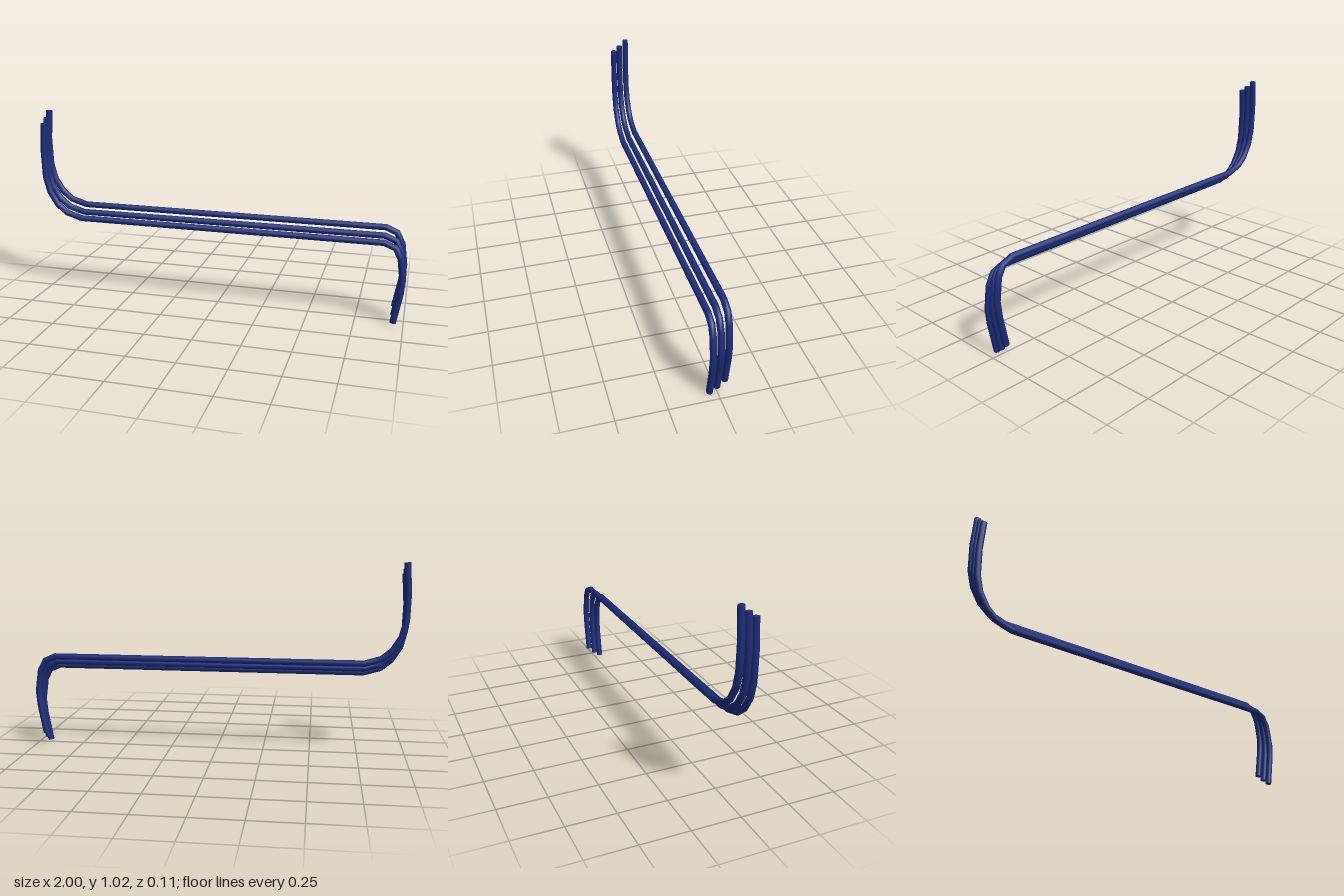
import * as THREE from 'three';

const RADIUS = 0.0168;
const SIDES = 12;

// Side profile shared by the three rods: upturned left end, straight run, downturned right end
const PROFILE = [
  [-0.972, 0.956], [-0.983, 0.80], [-0.979, 0.657], [-0.958, 0.574], [-0.914, 0.503],
  [-0.861, 0.460], [-0.775, 0.434], [0.88, 0.434], [0.937, 0.410], [0.966, 0.355],
  [0.982, 0.24], [0.975, 0.16], [0.947, 0.005],
];

// Curve that steps exactly through its corner points, so each bend stays faceted
class BentPath extends THREE.Curve {
  constructor(points) {
    super();
    this.points = points;
  }
  index(u) {
    return Math.round(u * (this.points.length - 1));
  }
  getPointAt(u, target = new THREE.Vector3()) {
    return target.copy(this.points[this.index(u)]);
  }
  getTangentAt(u, target = new THREE.Vector3()) {
    const i = this.index(u), p = this.points;
    target.set(0, 0, 0);
    if (i > 0) target.add(p[i].clone().sub(p[i - 1]).normalize());
    if (i < p.length - 1) target.add(p[i + 1].clone().sub(p[i]).normalize());
    return target.normalize();
  }
}

function makeRod(name, z, lift, material) {
  const rod = new THREE.Group();
  rod.name = name;
  const points = PROFILE.map(([x, y]) => new THREE.Vector3(x, y + lift, z - 0.0015 * x));
  const path = new BentPath(points);
  const tube = new THREE.Mesh(
    new THREE.TubeGeometry(path, points.length - 1, RADIUS, SIDES, false), material);
  tube.name = 'bentTube';
  rod.add(tube);

  // Flat end caps
  for (const [u, sign] of [[0, -1], [1, 1]]) {
    const cap = new THREE.Mesh(new THREE.CircleGeometry(RADIUS, SIDES), material);
    cap.name = u === 0 ? 'upperCap' : 'lowerCap';
    cap.position.copy(path.getPointAt(u));
    cap.quaternion.setFromUnitVectors(
      new THREE.Vector3(0, 0, 1), path.getTangentAt(u).multiplyScalar(sign));
    rod.add(cap);
  }
  return rod;
}

export function createModel() {
  const model = new THREE.Group();
  model.name = 'bentRods';
  const material = new THREE.MeshStandardMaterial({ color: 0x1c2c78 });
  // Rods step upward from front to back
  model.add(
    makeRod('frontRod', 0.037, 0, material),
    makeRod('middleRod', 0.002, 0.027, material),
    makeRod('backRod', -0.035, 0.061, material),
  );
  return model;
}
